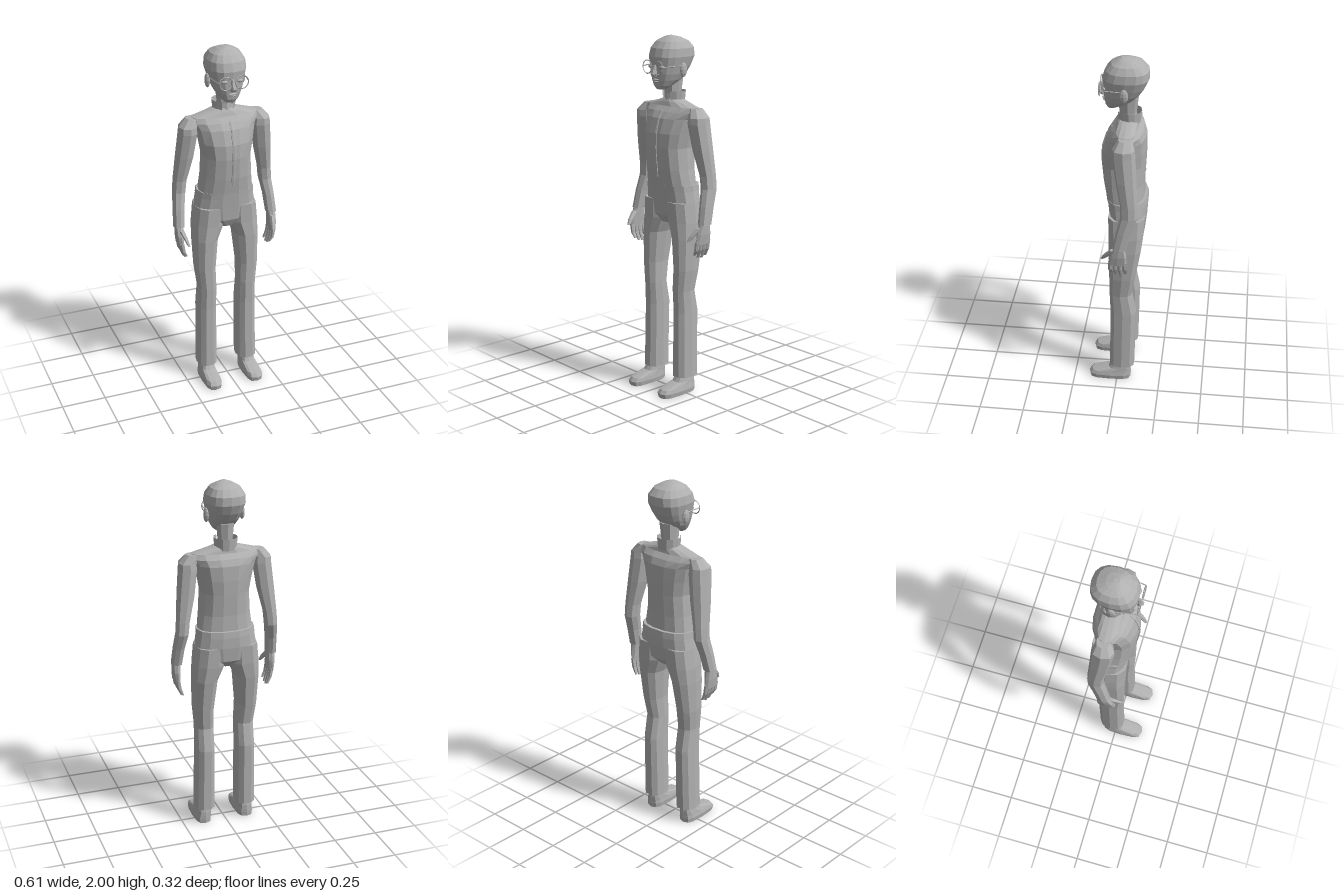
import * as THREE from 'three';

const clay = new THREE.MeshStandardMaterial({ color: 0xb0b0b0 });
clay.name = 'clay grey';
clay.side = THREE.DoubleSide;

// Faceted mesh with a plain name
function add(parent, name, geometry) {
  const g = geometry.index ? geometry.toNonIndexed() : geometry;
  g.computeVertexNormals();
  const mesh = new THREE.Mesh(g, clay);
  mesh.name = name;
  parent.add(mesh);
  return mesh;
}

// Closed loft through level rings, bottom to top: [y, centreX, halfWidth, zFront, zBack]
function loft(rows, sides = 8, power = 0.85, side = 1) {
  const pos = [], idx = [];
  const bend = v => Math.sign(v) * Math.pow(Math.abs(v), power);
  for (const [y, cx, hx, zf, zb] of rows) {
    for (let i = 0; i < sides; i++) {
      const a = (i / sides) * Math.PI * 2;
      pos.push(cx * side + hx * bend(Math.cos(a)), y, (zf + zb) / 2 + ((zf - zb) / 2) * bend(Math.sin(a)));
    }
  }
  for (let j = 0; j < rows.length - 1; j++) {
    for (let i = 0; i < sides; i++) {
      const a = j * sides + i, b = j * sides + (i + 1) % sides;
      idx.push(a, a + sides, b, b, a + sides, b + sides);
    }
  }
  const top = (rows.length - 1) * sides;
  for (let i = 1; i < sides - 1; i++) idx.push(0, i, i + 1, top, top + i + 1, top + i);
  const g = new THREE.BufferGeometry();
  g.setAttribute('position', new THREE.Float32BufferAttribute(pos, 3));
  g.setIndex(idx);
  return g;
}

// Faceted ellipsoid
function blob(x, y, z, rx, ry, rz) {
  return new THREE.SphereGeometry(1, 8, 6).scale(rx, ry, rz).translate(x, y, z);
}

function buildHead(root) {
  const head = new THREE.Group();
  head.name = 'head';
  root.add(head);
  add(head, 'skull', loft([
    [1.715, 0, 0.025, 0.062, 0.02], [1.735, 0, 0.048, 0.074, -0.02],
    [1.765, 0, 0.068, 0.08, -0.075], [1.8, 0, 0.083, 0.085, -0.108],
    [1.84, 0, 0.094, 0.086, -0.135], [1.89, 0, 0.106, 0.09, -0.157],
    [1.935, 0, 0.102, 0.075, -0.155], [1.97, 0, 0.08, 0.045, -0.125],
    [1.99, 0, 0.045, 0.01, -0.08], [2.0, 0, 0.012, -0.01, -0.04],
  ], 16, 0.8));
  add(head, 'neck', loft([
    [1.6, 0, 0.045, 0.008, -0.095], [1.69, 0, 0.041, 0.002, -0.09], [1.78, 0, 0.05, 0.01, -0.1],
  ]));
  add(head, 'nose', loft([
    [1.785, 0, 0.014, 0.1, 0.07], [1.8, 0, 0.017, 0.115, 0.07], [1.85, 0, 0.007, 0.094, 0.07],
  ], 6, 1));
  add(head, 'upperLip', blob(0, 1.768, 0.079, 0.024, 0.006, 0.012));
  add(head, 'lowerLip', blob(0, 1.757, 0.076, 0.02, 0.006, 0.012));

  for (const s of [1, -1]) {
    add(head, 'eye', blob(s * 0.042, 1.837, 0.076, 0.02, 0.01, 0.012));
    add(head, 'ear', blob(s * 0.1, 1.822, -0.03, 0.014, 0.04, 0.024));
    // Glasses: round rim and temple bar
    add(head, 'glassesRim', new THREE.TorusGeometry(0.036, 0.003, 4, 16).translate(s * 0.045, 1.836, 0.101));
    const bar = new THREE.LineCurve3(
      new THREE.Vector3(s * 0.081, 1.84, 0.101), new THREE.Vector3(s * 0.1, 1.843, -0.03));
    add(head, 'glassesTemple', new THREE.TubeGeometry(bar, 1, 0.003, 4));
  }
  add(head, 'glassesBridge', new THREE.BoxGeometry(0.022, 0.005, 0.005).translate(0, 1.842, 0.101));
}

function buildTorso(root) {
  add(root, 'jacket', loft([
    [1.17, 0, 0.158, 0.066, -0.14], [1.28, 0, 0.143, 0.084, -0.138],
    [1.4, 0, 0.135, 0.095, -0.145], [1.48, 0, 0.15, 0.092, -0.148],
    [1.56, 0, 0.168, 0.068, -0.145], [1.595, 0, 0.188, 0.045, -0.13],
    [1.622, 0, 0.19, 0.02, -0.105], [1.645, 0, 0.1, 0.01, -0.1], [1.66, 0, 0.05, 0.0, -0.09],
  ], 14));
  // Front placket strip
  add(root, 'placket', loft([
    [1.24, 0.006, 0.008, 0.082, 0.06], [1.28, 0.006, 0.012, 0.088, 0.06],
    [1.4, 0.006, 0.012, 0.099, 0.06], [1.48, 0.006, 0.012, 0.096, 0.06],
    [1.56, 0.006, 0.01, 0.072, 0.04], [1.6, 0.006, 0.01, 0.045, 0.01],
  ], 8, 0.4));
  // Stand collar, open at the front
  add(root, 'collar', new THREE.CylinderGeometry(0.066, 0.06, 0.065, 10, 1, true, 0.5, Math.PI * 2 - 1)
    .translate(0, 1.668, -0.052));
  add(root, 'waistband', loft([
    [1.16, 0, 0.166, 0.066, -0.16], [1.195, 0, 0.163, 0.07, -0.157],
  ], 14));
  add(root, 'hips', loft([
    [0.975, 0, 0.05, 0.025, -0.1], [1.02, 0, 0.14, 0.048, -0.146],
    [1.1, 0, 0.176, 0.056, -0.155], [1.17, 0, 0.163, 0.064, -0.156],
  ], 14));
}

function buildArm(root, s) {
  const arm = new THREE.Group();
  arm.name = s > 0 ? 'leftArm' : 'rightArm';
  root.add(arm);
  add(arm, 'sleeve', loft([
    [1.0, 0.275, 0.031, 0.01, -0.066], [1.1, 0.267, 0.032, -0.008, -0.092],
    [1.19, 0.255, 0.036, -0.03, -0.122], [1.26, 0.249, 0.038, -0.028, -0.12],
    [1.4, 0.227, 0.05, 0.0, -0.112], [1.54, 0.21, 0.053, 0.02, -0.104],
    [1.575, 0.21, 0.05, 0.018, -0.1], [1.62, 0.18, 0.04, -0.01, -0.082],
  ], 8, 0.85, s));
  add(arm, 'palm', loft([
    [0.895, 0.274, 0.014, 0.036, -0.068], [0.95, 0.276, 0.02, 0.025, -0.066],
    [1.01, 0.275, 0.023, 0.0, -0.056],
  ], 8, 0.7, s));
  // Four fingers curling slightly inward
  [0.83, 0.815, 0.81, 0.82].forEach((tip, i) => {
    const z = 0.023 - i * 0.026, end = z - 0.003;
    add(arm, 'finger', loft([
      [tip, 0.248, 0.006, end + 0.008, end - 0.008],
      [0.86, 0.266, 0.011, z + 0.012, z - 0.012],
      [0.91, 0.274, 0.012, z + 0.013, z - 0.013],
    ], 6, 0.8, s));
  });
  add(arm, 'thumb', loft([
    [0.915, 0.25, 0.007, 0.078, 0.06], [0.945, 0.258, 0.011, 0.063, 0.025],
    [0.985, 0.27, 0.014, 0.025, -0.02],
  ], 6, 0.8, s));
}

function buildLeg(root, s) {
  const leg = new THREE.Group();
  leg.name = s > 0 ? 'leftLeg' : 'rightLeg';
  root.add(leg);
  add(leg, 'trouserLeg', loft([
    [0.095, 0.122, 0.058, 0.045, -0.1], [0.47, 0.119, 0.054, 0.04, -0.108],
    [0.6, 0.118, 0.053, 0.045, -0.083], [0.72, 0.126, 0.058, 0.046, -0.105],
    [0.9, 0.12, 0.069, 0.05, -0.135], [0.99, 0.1, 0.088, 0.05, -0.146],
    [1.1, 0.092, 0.084, 0.055, -0.152],
  ], 10, 0.8, s));
  add(leg, 'shoe', loft([
    [0, 0.127, 0.046, 0.16, -0.078], [0.025, 0.127, 0.05, 0.165, -0.08],
    [0.045, 0.126, 0.046, 0.148, -0.08], [0.07, 0.125, 0.041, 0.05, -0.078],
    [0.11, 0.123, 0.036, 0.025, -0.07],
  ], 12, 0.62, s));
}

export function createModel() {
  const root = new THREE.Group();
  root.name = 'standingFigure';
  buildHead(root);
  buildTorso(root);
  for (const s of [1, -1]) {
    buildArm(root, s);
    buildLeg(root, s);
  }
  return root;
}
